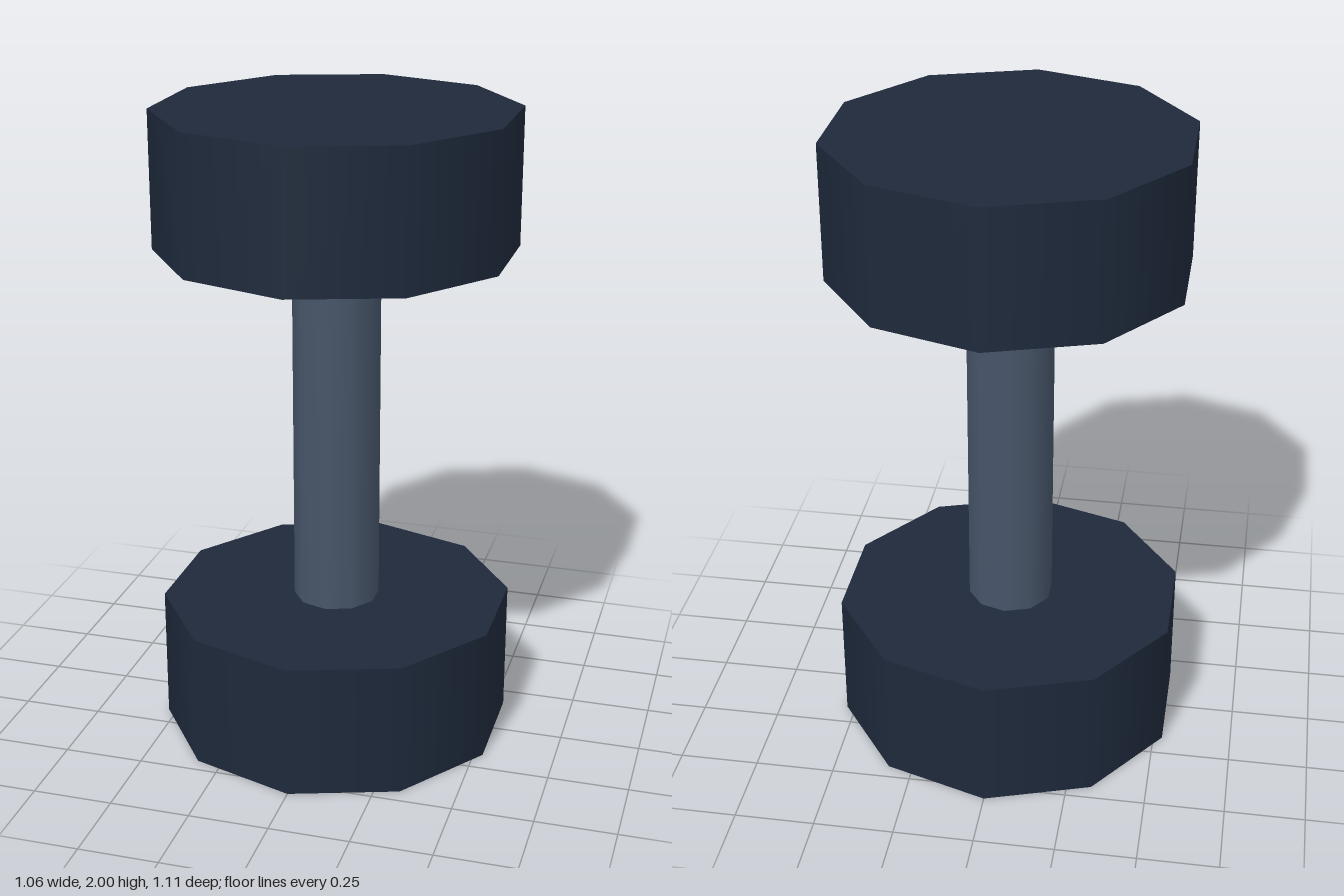
import * as THREE from 'three';

const SIDES = 10;
const HEIGHT = 2;
const WEIGHT_RADIUS = 0.556;
const WEIGHT_HEIGHT = 0.425;
const HANDLE_RADIUS = 0.136;

// Smooth-shaded ten-sided cylinder with flat caps, centred at height y
function cylinder(name, radius, height, y, material) {
  const mesh = new THREE.Mesh(new THREE.CylinderGeometry(radius, radius, height, SIDES), material);
  mesh.name = name;
  mesh.position.y = y;
  return mesh;
}

export function createModel() {
  const group = new THREE.Group();
  group.name = 'dumbbell';
  const weightMaterial = new THREE.MeshStandardMaterial({ color: 0x1e293b });
  const handleMaterial = new THREE.MeshStandardMaterial({ color: 0x475569 });

  // Handle, ending just inside both weights
  const handleLength = HEIGHT - 2 * WEIGHT_HEIGHT + 0.04;
  group.add(cylinder('handle', HANDLE_RADIUS, handleLength, HEIGHT / 2, handleMaterial));

  // Weights at either end
  for (const [name, side] of [['lowerWeight', -1], ['upperWeight', 1]]) {
    const y = HEIGHT / 2 + side * (HEIGHT - WEIGHT_HEIGHT) / 2;
    group.add(cylinder(name, WEIGHT_RADIUS, WEIGHT_HEIGHT, y, weightMaterial));
  }
  return group;
}
